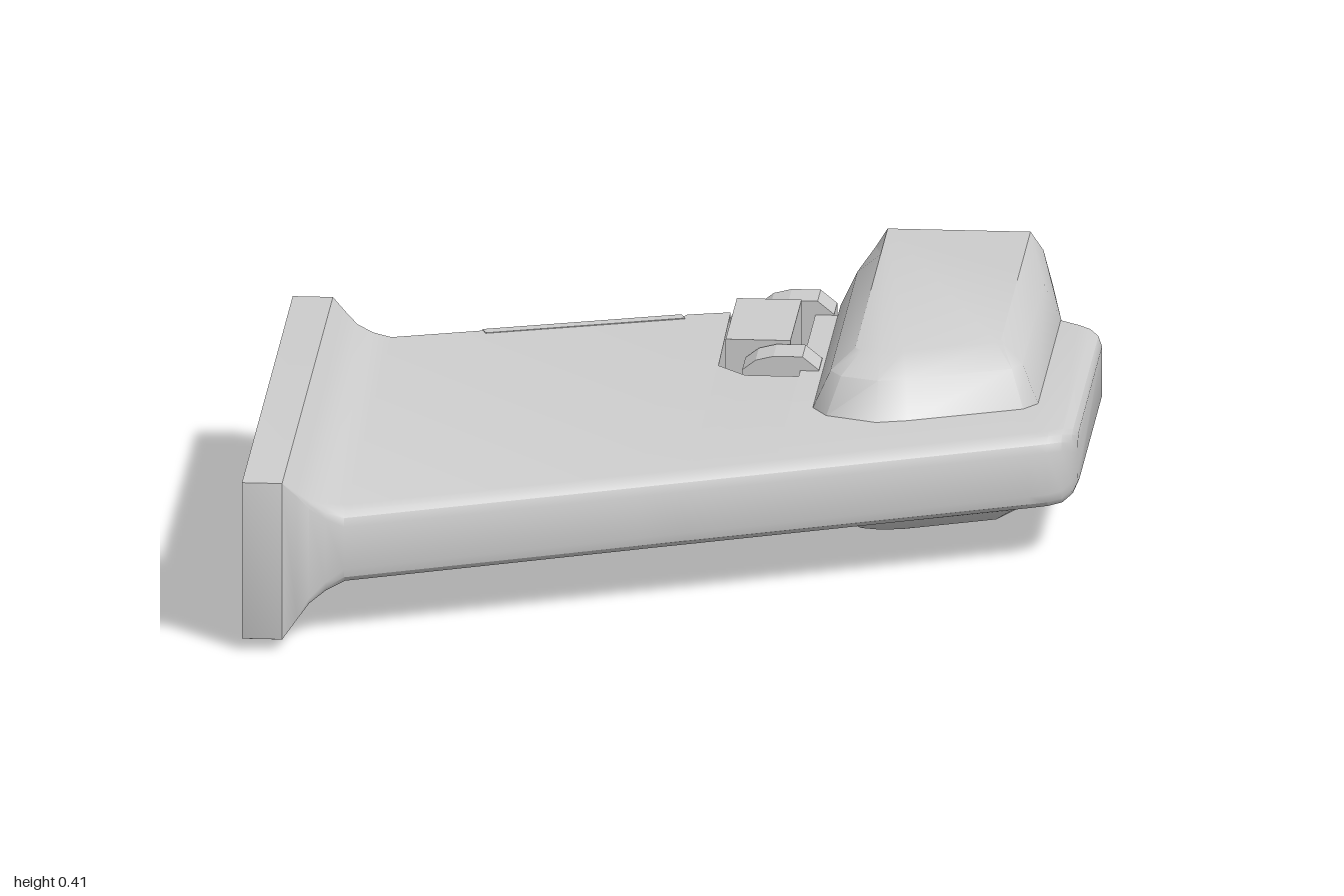
import * as THREE from 'three';
import { toCreasedNormals } from 'three/addons/utils/BufferGeometryUtils.js';

const MID = 0.207; // height of the plane of symmetry
const material = new THREE.MeshStandardMaterial({ color: 0xcccccc });

function mesh(name, geometry) {
  const m = new THREE.Mesh(geometry, material);
  m.name = name;
  return m;
}

// Skin between equal-length rings of [x, y, z], with both ends capped
function loft(rings, crease) {
  const n = rings[0].length;
  const pos = [];
  const tri = (a, b, c) => pos.push(...a, ...b, ...c);
  for (let i = 0; i < rings.length - 1; i++) {
    for (let j = 0; j < n; j++) {
      const k = (j + 1) % n;
      tri(rings[i][j], rings[i][k], rings[i + 1][k]);
      tri(rings[i][j], rings[i + 1][k], rings[i + 1][j]);
    }
  }
  const first = rings[0], last = rings[rings.length - 1];
  for (let j = 1; j < n - 1; j++) {
    tri(first[0], first[j + 1], first[j]);
    tri(last[0], last[j], last[j + 1]);
  }
  const g = new THREE.BufferGeometry();
  g.setAttribute('position', new THREE.Float32BufferAttribute(pos, 3));
  return toCreasedNormals(g, crease);
}

// Wing section: square trailing edge, rounded leading edge
function wingSection([x, back, front, h, r = 0.05]) {
  const half = [[back, h], [front - r, h], [front - r * 0.45, h - r * 0.1],
    [front - r * 0.12, h - r * 0.36], [front, h - r * 0.75]];
  const lower = half.map(([z, y]) => [z, -y]).reverse();
  return [...half, ...lower].map(([z, y]) => [x, MID + y, z]);
}

function wing() {
  // x, trailing z, leading z, half thickness, edge radius
  const stations = [
    [-0.9, -0.455, 1, 0.182, 0.001],
    [-0.81, -0.455, 1, 0.182, 0.001],
    [-0.78, -0.455, 0.965, 0.147, 0.008],
    [-0.755, -0.455, 0.935, 0.12, 0.02],
    [-0.72, -0.46, 0.91, 0.1, 0.035],
    [-0.68, -0.47, 0.888, 0.087],
    [-0.04, -0.69, 0.594, 0.086],
    [-0.035, -0.7, 0.591, 0.086],
    [0.06, -0.725, 0.548, 0.086],
    // hinge notch
    [0.065, -0.31, 0.546, 0.086],
    [0.13, -0.24, 0.516, 0.086],
    [0.25, -0.24, 0.461, 0.086],
    [0.25, -0.72, 0.461, 0.086],
    // tip
    [0.8, -0.72, 0.208, 0.086],
    [0.84, -0.69, 0.188, 0.086],
    [0.87, -0.665, 0.165, 0.084],
    [0.89, -0.645, 0.13, 0.074],
    [0.9, -0.62, 0.08, 0.057],
  ];
  return mesh('wing', loft(stations.map(wingSection), 0.55));
}

function pod() {
  // Plan outlines at the waist and around the flat top
  const waist = [[0.345, -1], [0.3, -0.8], [0.3, 0], [0.335, 0.06], [0.45, 0.105],
    [0.52, 0.085], [0.77, -0.025], [0.8, -0.07], [0.8, -0.73], [0.76, -1]];
  const flat = [[0.39, -1], [0.39, -0.8], [0.39, -0.07], [0.405, -0.05], [0.45, -0.04],
    [0.5, -0.05], [0.7, -0.14], [0.71, -0.16], [0.71, -0.73], [0.71, -1]];
  const levels = [[-0.207, 1], [-0.165, 0.42], [-0.085, 0], [0.085, 0], [0.165, 0.42], [0.207, 1]];
  const rings = levels.map(([y, t]) => waist.map(([x, z], i) => [
    x + (flat[i][0] - x) * t, MID + y, z + (flat[i][1] - z) * t]));
  return mesh('pod', loft(rings, 0.6));
}

// Profile in x and y (upper half, mirrored below), extruded along z
function slab(name, upper, z0, z1) {
  const lower = upper.map(([x, y]) => [x, -y]).reverse();
  const shape = new THREE.Shape([...upper, ...lower].map(([x, y]) => new THREE.Vector2(x, MID + y)));
  const g = new THREE.ExtrudeGeometry(shape, { depth: z1 - z0, bevelEnabled: false });
  return mesh(name, g.translate(0, 0, z0));
}

function hinge() {
  const group = new THREE.Group();
  group.name = 'hinge';
  group.add(slab('hingeBlock', [[0.075, 0.124], [0.22, 0.124]], -0.71, -0.39));
  const knuckle = [[0.12, 0.085], [0.15, 0.108], [0.19, 0.118], [0.255, 0.118], [0.292, 0.088]];
  for (const [z0, z1] of [[-0.81, -0.72], [-0.38, -0.285]]) {
    group.add(slab('hingeKnuckle', knuckle, z0, z1));
  }
  // Bracket joining the rear knuckle to the wing
  const plan = new THREE.Shape([[0.06, 0.7], [0.13, 0.7], [0.13, 0.79], [0.115, 0.785], [0.065, 0.745]]
    .map(([x, y]) => new THREE.Vector2(x, y)));
  const g = new THREE.ExtrudeGeometry(plan, { depth: 0.16, bevelEnabled: false });
  group.add(mesh('hingeBracket', g.rotateX(-Math.PI / 2).translate(0, MID - 0.08, 0)));
  return group;
}

export function createModel() {
  const model = new THREE.Group();
  model.name = 'wingAssembly';
  model.add(wing(), pod(), hinge());
  // Raised strips along the trailing edge
  for (const side of [1, -1]) {
    const strip = mesh('trailingStrip', new THREE.BoxGeometry(0.46, 0.024, 0.03));
    strip.position.set(-0.26, MID + side * 0.076, -0.606);
    strip.rotation.y = 0.331;
    model.add(strip);
  }
  return model;
}
